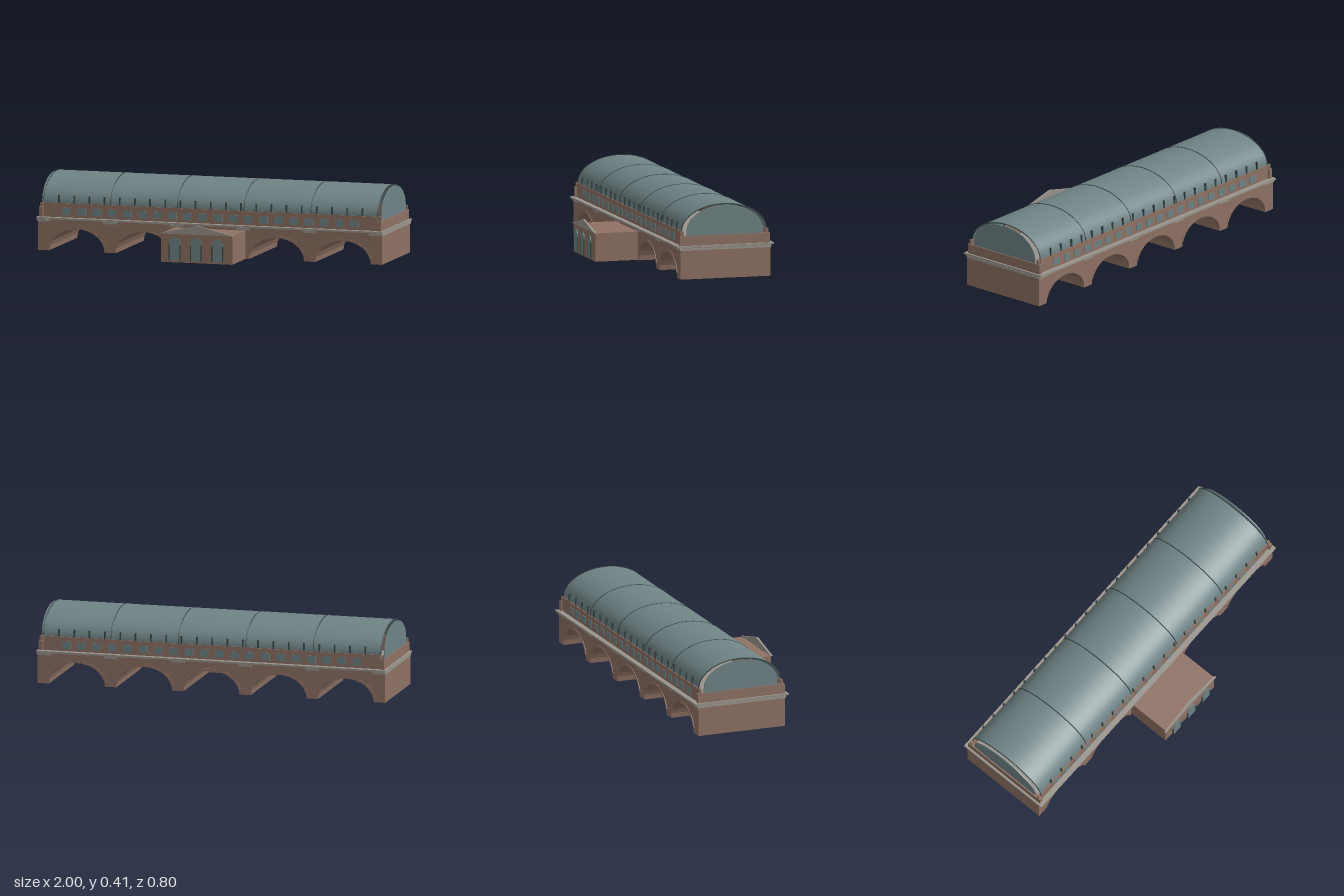
import * as THREE from 'three';

const paint = (name, color, side = THREE.FrontSide) => {
  const m = new THREE.MeshStandardMaterial({ color, side });
  m.name = name;
  return m;
};

export function createModel() {
  const root = new THREE.Group();
  root.name = 'arcadeStation';
  const brick = paint('brick', 0x8e7163);
  const stone = paint('stone', 0x98938b);
  const glass = paint('glass', 0x6f8385, THREE.DoubleSide);
  const iron = paint('iron', 0x3a4749);

  const add = (name, geometry, material) => {
    const m = new THREE.Mesh(geometry, material);
    m.name = name;
    root.add(m);
    return m;
  };
  // Box given by its limits on each axis
  const box = (name, mat, x0, x1, y0, y1, z0, z1) =>
    add(name, new THREE.BoxGeometry(x1 - x0, y1 - y0, z1 - z0), mat)
      .position.set((x0 + x1) / 2, (y0 + y1) / 2, (z0 + z1) / 2);
  // Shape pushed along z between two limits
  const slab = (name, mat, shape, z0, z1) => {
    const g = new THREE.ExtrudeGeometry(shape, { depth: z1 - z0, bevelEnabled: false, curveSegments: 12 });
    return add(name, g.translate(0, 0, z0), mat);
  };

  const MID = -0.12;              // centre line of the hall in z
  const FRONT = 0.14, BACK = -0.38;
  const PITCH = 0.385, SPAN = 0.16, RISE = 0.125;
  const arcPoint = (cx, rx, ry, t) => [cx + Math.cos(t) * rx, Math.sin(t) * ry];

  // Viaduct with five through arches
  const viaduct = new THREE.Shape();
  viaduct.moveTo(-0.995, 0);
  for (let i = -2; i <= 2; i++)
    for (let k = 0; k <= 14; k++)
      viaduct.lineTo(...arcPoint(i * PITCH, SPAN, RISE, Math.PI * (1 - k / 14)));
  viaduct.lineTo(0.995, 0);
  viaduct.lineTo(0.995, 0.178);
  viaduct.lineTo(-0.995, 0.178);
  viaduct.closePath();
  slab('viaduct', brick, viaduct, BACK, FRONT);

  // Raised arch rims on both faces
  for (let i = -2; i <= 2; i++) {
    const rim = new THREE.Shape();
    const t0 = 0.24, steps = 14;
    for (let k = 0; k <= steps; k++) {
      const p = arcPoint(i * PITCH, SPAN + 0.014, RISE + 0.012, t0 + (Math.PI - 2 * t0) * k / steps);
      k ? rim.lineTo(...p) : rim.moveTo(...p);
    }
    for (let k = steps; k >= 0; k--)
      rim.lineTo(...arcPoint(i * PITCH, SPAN, RISE, t0 + (Math.PI - 2 * t0) * k / steps));
    rim.closePath();
    slab('archRimFront', brick, rim, FRONT, FRONT + 0.003);
    slab('archRimBack', brick, rim, BACK - 0.003, BACK);
  }

  // Pier capitals and the cornice
  for (const s of [-1, 1]) {
    for (const c of [0.5, 1.5])
      box('pierCapital', stone, s * c * PITCH - 0.04, s * c * PITCH + 0.04, 0.16, 0.173, BACK - 0.006, FRONT + 0.004);
    box('endCapital', stone, s * 0.96 - 0.038, s * 0.96 + 0.038, 0.16, 0.173, BACK - 0.006, FRONT + 0.004);
  }
  box('cornice', stone, -1, 1, 0.176, 0.186, -0.4, 0.16);

  // Hall walls with windows, posts and end parapets
  for (const s of [-1, 1]) {
    const z = MID + s * 0.243;
    box('sideWall', brick, -0.965, 0.965, 0.186, 0.265, z - 0.007, z + 0.007);
    for (let i = 0; i < 20; i++) {
      const x = (i - 9.5) * 0.0877, f = z + s * 0.008;
      box('wallWindow', glass, x - 0.025, x + 0.025, 0.2, 0.24, f - 0.002, f + 0.002);
    }
    for (let i = -10; i <= 10; i++) {
      const x = i * 0.0877, pz = z + s * 0.001;
      box('roofPost', iron, x - 0.004, x + 0.004, 0.265, 0.308, pz - 0.005, pz + 0.005);
    }
    box('endWall', brick, s * 0.978 - 0.011, s * 0.978 + 0.011, 0.186, 0.24, BACK, FRONT);
    for (const e of [-1, 1]) {
      const pz = MID + e * 0.243;
      box('cornerPier', brick, s * 0.978 - 0.008, s * 0.978 + 0.008, 0.24, 0.265, pz - 0.007, pz + 0.007);
    }
  }

  // Vaulted roof shell
  const RX = 0.244, RY = 0.145, BASE = 0.265;
  const shell = new THREE.CylinderGeometry(1, 1, 1.93, 40, 1, true, -Math.PI / 2, Math.PI);
  shell.rotateX(-Math.PI / 2).rotateY(Math.PI / 2).scale(1, RY, RX);
  // Keep the half circle upright whichever way the turn left it
  shell.computeBoundingBox();
  if (shell.boundingBox.max.y < 0.01) shell.rotateX(Math.PI);
  shell.translate(0, BASE, MID);
  add('vaultRoof', shell, glass);

  // Iron ribs over the vault
  class RibCurve extends THREE.Curve {
    getPoint(t, target = new THREE.Vector3()) {
      const a = Math.PI * t;
      return target.set(0, BASE + RY * Math.sin(a), MID + RX * Math.cos(a));
    }
  }
  const ribGeometry = new THREE.TubeGeometry(new RibCurve(), 40, 0.003, 6);
  for (let i = -2.5; i <= 2.5; i++) add('roofRib', ribGeometry, iron).position.x = i * 0.386;

  // Glazed end screens
  const screen = new THREE.Shape();
  screen.moveTo(-0.22, 0.24);
  screen.lineTo(0.22, 0.24);
  for (let k = 0; k <= 20; k++) {
    const [x, y] = arcPoint(0, 0.22, 0.14, Math.PI * k / 20);
    screen.lineTo(x, BASE + y);
  }
  screen.closePath();
  for (const s of [-1, 1]) {
    const m = slab('endScreen', glass, screen, -0.003, 0.003);
    m.rotation.y = Math.PI / 2;
    m.position.set(s * 0.98, 0, MID);
  }

  // Entrance block with pediment
  box('entranceBlock', brick, -0.206, 0.206, 0, 0.158, FRONT, 0.385);
  const pediment = new THREE.Shape();
  pediment.moveTo(-0.215, 0.16);
  pediment.lineTo(0.215, 0.16);
  pediment.lineTo(0, 0.21);
  pediment.closePath();
  slab('pediment', stone, pediment, 0.383, 0.395);

  // Arched entrance windows with iron jambs
  for (const x of [-0.123, 0, 0.123]) {
    const w = new THREE.Shape();
    w.moveTo(x - 0.032, 0.012);
    w.lineTo(x + 0.032, 0.012);
    w.lineTo(x + 0.032, 0.105);
    w.absellipse(x, 0.105, 0.032, 0.035, 0, Math.PI, false);
    w.closePath();
    slab('entranceWindow', glass, w, 0.395, 0.399);
    for (const s of [-1, 1])
      box('windowJamb', iron, x + s * 0.031 - 0.003, x + s * 0.031 + 0.003, 0.012, 0.1, 0.395, 0.4);
  }
  return root;
}
